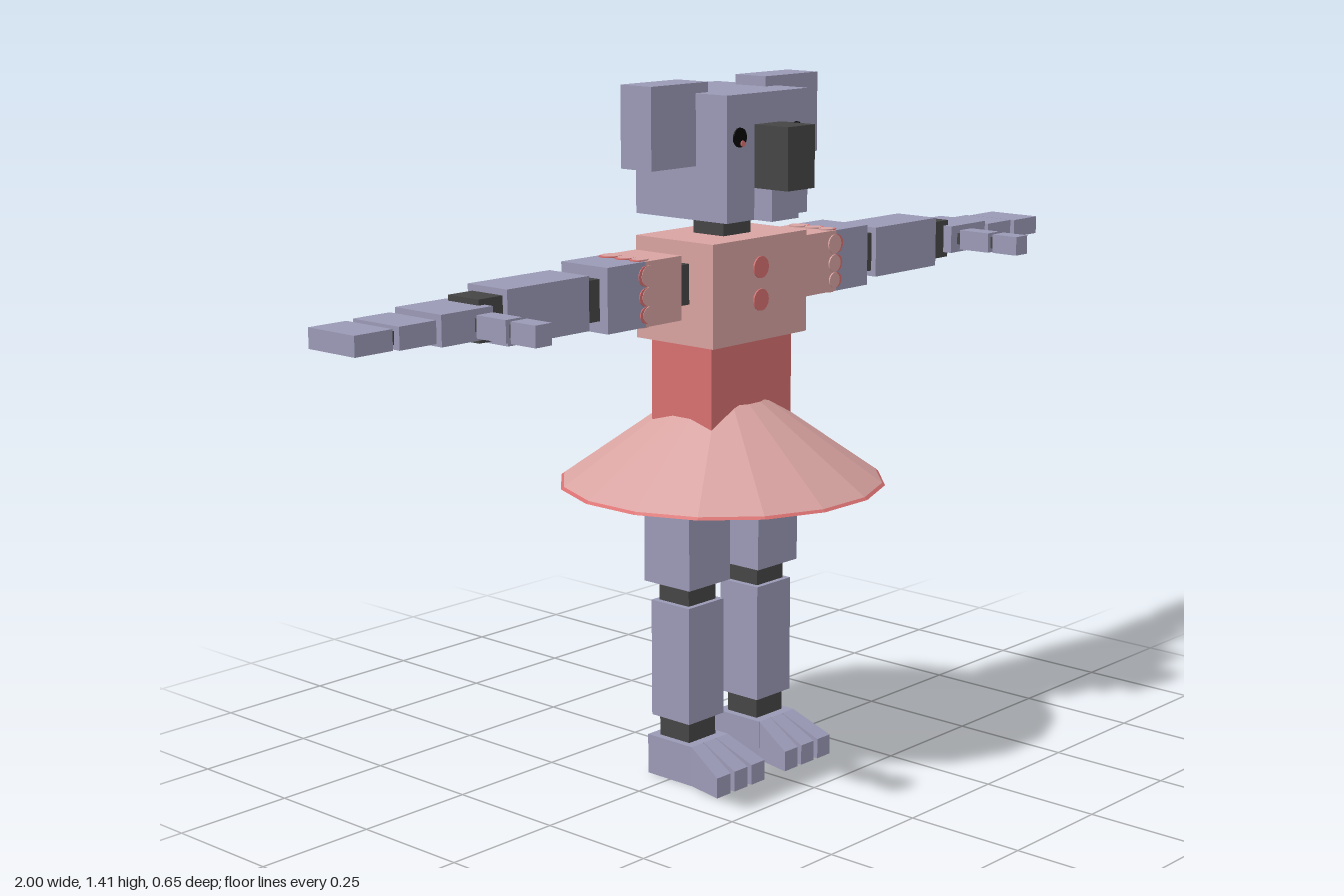
import * as THREE from 'three';

const mat = (name, color, side = THREE.FrontSide) => {
  const m = new THREE.MeshStandardMaterial({ color, side });
  m.name = name;
  return m;
};

export function createModel() {
  const root = new THREE.Group();
  root.name = 'dressedAnimalFigure';
  const fur = mat('greyFur', 0x9b9ab6);
  const joint = mat('darkJoint', 0x454545);
  const pink = mat('pinkCloth', 0xd8a3a1);
  const skirtPink = mat('pinkSkirt', 0xd8a3a1, THREE.DoubleSide);
  const red = mat('redCloth', 0xd87070);
  const hemRed = mat('redHem', 0xd87070, THREE.DoubleSide);
  const black = mat('black', 0x050505);
  const padded = [fur, fur, fur, black, fur, fur]; // black underside

  const add = (parent, name, geo, material) => {
    const mesh = new THREE.Mesh(geo, material);
    mesh.name = name;
    parent.add(mesh);
    return mesh;
  };
  // Box given by its extents on each axis
  const box = (parent, name, material, [x0, x1], [y0, y1], [z0, z1]) => {
    const m = add(parent, name, new THREE.BoxGeometry(x1 - x0, y1 - y0, z1 - z0), material);
    m.position.set((x0 + x1) / 2, (y0 + y1) / 2, (z0 + z1) / 2);
    return m;
  };
  const group = (name) => {
    const g = new THREE.Group();
    g.name = name;
    root.add(g);
    return g;
  };
  const thin = [-0.04, 0.04];

  // Head
  const head = group('head');
  box(head, 'skull', fur, [-0.12, 0.12], [1.145, 1.39], [-0.12, 0.12]);
  box(head, 'nose', joint, thin, [1.207, 1.33], [0.12, 0.205]);
  box(head, 'mouth', fur, thin, [1.145, 1.207], [0.12, 0.165]);
  box(head, 'neck', joint, thin, [1.1, 1.15], thin);
  const disc = (parent, name, material, r, x, y, z) => {
    const m = add(parent, name, new THREE.CylinderGeometry(r, r, 0.004, 16), material);
    m.rotation.x = Math.PI / 2;
    m.position.set(x, y, z);
    return m;
  };
  for (const s of [-1, 1]) {
    box(head, 'ear', fur, s < 0 ? [-0.245, -0.085] : [0.085, 0.245], [1.25, 1.41], thin);
    disc(head, 'eye', black, 0.019, s * 0.084, 1.308, 0.121);
    disc(head, 'eyeCorner', red, 0.006, s * 0.078, 1.296, 0.123);
  }

  // Body and dress
  const body = group('body');
  box(body, 'chest', pink, [-0.14, 0.14], [0.9, 1.105], [-0.102, 0.102]);
  box(body, 'waist', red, [-0.12, 0.12], [0.7, 0.9], [-0.08, 0.08]);
  for (const y of [1.046, 0.981]) disc(body, 'button', red, 0.022, 0, y, 0.103);

  // Faceted open skirt with flat panels facing front and sides
  const frustum = (name, r0, r1, y0, y1, material) => {
    const geo = new THREE.CylinderGeometry(r1, r0, y1 - y0, 16, 1, true).toNonIndexed();
    geo.computeVertexNormals();
    const m = add(body, name, geo, material);
    m.position.y = (y0 + y1) / 2;
    m.rotation.y = Math.PI / 16;
  };
  frustum('skirt', 0.326, 0.09, 0.604, 0.771, skirtPink);
  frustum('skirtHem', 0.332, 0.326, 0.599, 0.604, hemRed);

  // Arms: built on the left side, turned around for the right
  const Y = 1.022;
  const around = (h) => [Y - h, Y + h];
  const half = (h) => [-h, h];
  function buildArm(s) {
    const arm = group(s > 0 ? 'leftArm' : 'rightArm');
    const part = (name, m, x0, x1, hy, hz) =>
      box(arm, name, m, s > 0 ? [x0, x1] : [-x1, -x0], around(hy), half(hz));
    part('shoulder', joint, 0.14, 0.187, 0.04, 0.04);
    part('sleeve', pink, 0.185, 0.285, 0.063, 0.061);
    part('upperArm', fur, 0.285, 0.388, 0.063, 0.061);
    part('elbow', joint, 0.385, 0.43, 0.04, 0.04);
    part('forearm', fur, 0.428, 0.636, 0.052, 0.052);
    part('wrist', joint, 0.634, 0.695, 0.04, 0.04);

    // Scalloped sleeve edge on the four faces
    for (let i = 0; i < 4; i++) {
      const face = new THREE.Group();
      face.name = 'sleeveEdge';
      face.position.set(s * 0.285, Y, 0);
      face.rotation.x = (i * Math.PI) / 2;
      arm.add(face);
      const depth = i % 2 ? 0.063 : 0.061;
      for (const [y, r] of [[0.035, 0.02], [-0.005, 0.018], [-0.04, 0.016]]) {
        disc(face, 'sleeveTrim', red, r, 0, y, depth);
        disc(face, 'sleeveScallop', pink, r, s * -0.007, y, depth + 0.001);
      }
    }

    // Hand with jointed fingers and thumb
    part('palm', padded, 0.68, 0.803, 0.029, 0.061);
    part('fingerBase', padded, 0.815, 0.9, 0.021, 0.061);
    part('fingerTip', padded, 0.915, 1, 0.019, 0.061);
    for (const z of [-0.038, 0, 0.038])
      box(arm, 'fingerJoint', joint, s > 0 ? [0.79, 0.93] : [-0.93, -0.79],
        around(0.012), [z - 0.009, z + 0.009]);
    const tx = s > 0 ? [0.693, 0.733] : [-0.733, -0.693];
    box(arm, 'thumbJoint', joint, s > 0 ? [0.702, 0.724] : [-0.724, -0.702], around(0.012), [0.05, 0.17]);
    box(arm, 'thumbBase', padded, tx, around(0.021), [0.075, 0.15]);
    box(arm, 'thumbTip', padded, tx, around(0.02), [0.162, 0.224]);
  }

  // Legs
  function buildLeg(s) {
    const leg = group(s > 0 ? 'leftLeg' : 'rightLeg');
    leg.position.x = s * 0.104;
    box(leg, 'hip', joint, thin, [0.655, 0.702], thin);
    box(leg, 'thigh', fur, half(0.061), [0.41, 0.66], half(0.061));
    box(leg, 'knee', joint, thin, [0.365, 0.415], thin);
    box(leg, 'shin', fur, half(0.052), [0.127, 0.37], half(0.051));
    box(leg, 'ankle', joint, thin, [0.08, 0.13], thin);
    box(leg, 'heel', padded, half(0.055), [0, 0.083], half(0.06));
    // Toes slope down and fan out towards the front
    for (const t of [-1, 0, 1]) {
      const geo = new THREE.BoxGeometry(1, 1, 1);
      const p = geo.attributes.position;
      for (let i = 0; i < p.count; i++) {
        const front = p.getZ(i) > 0;
        const x = front ? t * 0.052 + p.getX(i) * 0.04 : t * 0.037 + p.getX(i) * 0.035;
        p.setXYZ(i, x, p.getY(i) < 0 ? 0 : front ? 0.042 : 0.083, front ? 0.145 : 0.06);
      }
      geo.computeVertexNormals();
      add(leg, 'toe', geo, padded);
    }
  }

  for (const s of [1, -1]) {
    buildArm(s);
    buildLeg(s);
  }
  return root;
}
